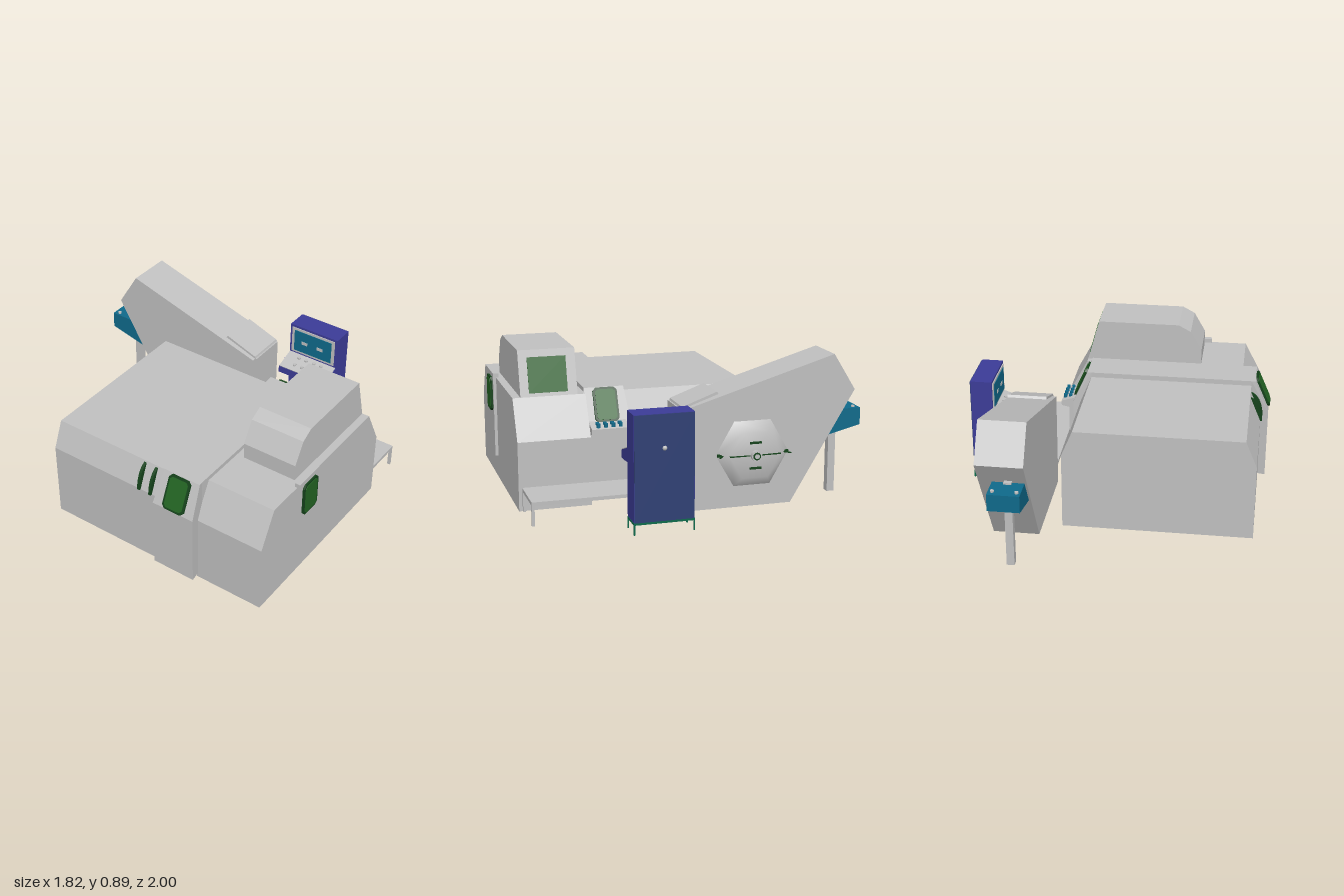
import * as THREE from 'three';

const mat = (name, color, side = THREE.FrontSide) => {
  const m = new THREE.MeshStandardMaterial({ color, side });
  m.name = name;
  return m;
};

export function createModel() {
  const root = new THREE.Group();
  root.name = 'industrialMachine';
  const grey = mat('light grey', 0xc0c0c0, THREE.DoubleSide);
  const green = mat('screen green', 0x226322);
  const darkGreen = mat('bezel green', 0x14421a);
  const blue = mat('cabinet blue', 0x3c3c98);
  const doorBlue = mat('door blue', 0x2f3f74);
  const teal = mat('teal', 0x0f6a8b);
  const frameGreen = mat('frame green', 0x0b6b4c);

  const add = (name, geo, material, parent = root) => {
    const m = new THREE.Mesh(geo, material);
    m.name = name;
    parent.add(m);
    return m;
  };
  // box given by its limits
  const box = (name, x0, x1, y0, y1, z0, z1, material) =>
    add(name, new THREE.BoxGeometry(x1 - x0, y1 - y0, z1 - z0)
      .translate((x0 + x1) / 2, (y0 + y1) / 2, (z0 + z1) / 2), material);
  const shapeOf = pts => new THREE.Shape(pts.map(p => new THREE.Vector2(p[0], p[1])));
  const extrude = (shape, depth) =>
    new THREE.ExtrudeGeometry(shape, { depth, bevelEnabled: false, curveSegments: 8 });
  // profile in (x, y) run along z, and profile in (z, y) run along x
  const alongZ = (pts, z0, z1) => extrude(shapeOf(pts), z1 - z0).translate(0, 0, z0);
  const alongX = (pts, x0, x1) =>
    extrude(shapeOf(pts.map(([z, y]) => [-z, y])), x1 - x0).rotateY(Math.PI / 2).translate(x0, 0, 0);
  // drops the floor faces so a body is an open shell
  const openBottom = (geo, y) => {
    const g = geo.index ? geo.toNonIndexed() : geo;
    const p = g.attributes.position.array, keep = [];
    for (let i = 0; i < p.length; i += 9) {
      if (Math.max(p[i + 1], p[i + 4], p[i + 7]) > y + 0.001) keep.push(...p.slice(i, i + 9));
    }
    const out = new THREE.BufferGeometry();
    out.setAttribute('position', new THREE.Float32BufferAttribute(keep, 3));
    out.computeVertexNormals();
    return out;
  };
  const cyl = (name, r, h, x, y, z, material, axis = 'y') => {
    const g = new THREE.CylinderGeometry(r, r, h, 16);
    if (axis === 'x') g.rotateZ(-Math.PI / 2);
    return add(name, g.translate(x, y, z), material);
  };
  // chamfered screen with bezel, placed by centre, normal and up slope
  const octagon = (w, h, c) => shapeOf([
    [-w + c, -h], [w - c, -h], [w, -h + c], [w, h - c], [w - c, h], [-w + c, h], [-w, h - c], [-w, -h + c]]);
  const screen = (name, w, h, centre, n, u) => {
    const g = new THREE.Group();
    g.name = name;
    add('bezel', extrude(octagon(w / 2, h / 2, 0.018), 0.012), darkGreen, g);
    add('glass', extrude(octagon(w / 2 - 0.012, h / 2 - 0.012, 0.014), 0.003).translate(0, 0, 0.012), green, g);
    const Z = new THREE.Vector3(...n).normalize(), Y = new THREE.Vector3(...u).normalize();
    g.applyMatrix4(new THREE.Matrix4().makeBasis(Y.clone().cross(Z), Y, Z).setPosition(...centre));
    root.add(g);
  };

  // main bodies
  add('frontBody', openBottom(alongZ([[-0.845, 0.015], [0.365, 0.015], [0.365, 0.41], [0.245, 0.635],
    [-0.735, 0.635], [-0.845, 0.43]], 0.55, 0.965), 0.015), grey);
  add('rearBody', openBottom(alongZ([[-0.86, 0.015], [0.25, 0.015], [0.25, 0.475], [0.185, 0.63],
    [-0.795, 0.63], [-0.86, 0.475]], -0.43, 0.325), 0.015), grey);
  add('middleBand', openBottom(alongZ([[-0.86, 0.04], [0.25, 0.04], [0.25, 0.47], [0.21, 0.66],
    [-0.82, 0.66], [-0.86, 0.47]], 0.325, 0.55), 0.04), grey);

  // flared band ends carrying a sloping screen on each side, mirrored about the band centre
  const cx = -0.305;
  for (const s of [-1, 1]) {
    const level = (y, xo, zo0, zo1) => [
      [cx + s * 0.49, y, 0.325], [cx + s * xo, y, zo0], [cx + s * xo, y, zo1], [cx + s * 0.49, y, 0.55]];
    const pos = [level(0.04, 0.6, 0.3, 0.565), level(0.47, 0.6, 0.3, 0.565), level(0.66, 0.515, 0.322, 0.553)].flat(2);
    const idx = [];
    for (let r = 0; r < 2; r++) for (let k = 0; k < 4; k++) {
      const a = r * 4 + k, b = r * 4 + (k + 1) % 4;
      idx.push(a, a + 4, b, b, a + 4, b + 4);
    }
    idx.push(8, 11, 10, 8, 10, 9);
    if (s < 0) idx.reverse();
    const g = new THREE.BufferGeometry();
    g.setAttribute('position', new THREE.Float32BufferAttribute(pos, 3));
    g.setIndex(idx);
    const flat = g.toNonIndexed();
    flat.computeVertexNormals();
    add('bandEnd', flat, grey);
    screen('bandScreen', 0.14, 0.2, [cx + s * 0.5575, 0.565, 0.435], [s * 0.19, 0.085, 0], [-s * 0.085, 0.19, 0]);
  }

  // hood with a window on its sloping end
  add('hood', alongZ([[-0.47, 0.63], [0.246, 0.63], [0.175, 0.89], [-0.325, 0.89], [-0.4, 0.85], [-0.47, 0.73]],
    0.595, 0.92), grey);
  const win = add('hoodWindow', new THREE.BoxGeometry(0.006, 0.202, 0.22), green);
  win.position.set(0.214, 0.7525, 0.76);
  win.rotation.z = Math.atan2(0.07, 0.255);

  // front panel with screen
  box('frontPanel', -0.515, -0.32, 0.155, 0.66, 0.95, 0.983, grey);
  screen('frontScreen', 0.14, 0.205, [-0.416, 0.53, 0.983], [0, 0, 1], [0, 1, 0]);

  // button console on the right end of the band
  add('console', alongZ([[0.28, 0.405], [0.375, 0.425], [0.375, 0.455], [0.28, 0.485]], 0.33, 0.545), grey);
  for (const x of [0.325, 0.357]) for (const z of [0.375, 0.418, 0.46, 0.503])
    cyl('consoleButton', 0.011, 0.024, x, 0.472, z, teal);

  // curved grab handles on the rear left slope
  for (const z of [0.175, 0.252]) {
    const s = new THREE.Shape();
    s.moveTo(-0.855, 0.475);
    s.lineTo(-0.79, 0.625);
    s.quadraticCurveTo(-0.862, 0.6, -0.872, 0.475);
    add('sideHandle', extrude(s, 0.016).translate(0, 0, z - 0.008), darkGreen).material.side = THREE.DoubleSide;
  }

  // inclined feeder with its bent front cover
  add('feeder', alongX([[0.095, 0.015], [0.095, 0.595], [-0.795, 0.86], [-0.925, 0.65], [-0.545, 0.015]],
    0.365, 0.633), grey);
  box('feederFrontCover', 0.385, 0.618, 0.25, 0.6, 0.095, 0.108, grey);
  add('feederLid', alongX([[0.1, 0.597], [0.095, 0.612], [-0.105, 0.685], [-0.115, 0.672]], 0.385, 0.618), grey);

  // hexagonal side dome with hub, seam and grips
  const dy = 0.325, dz = -0.31;
  const dome = new THREE.LatheGeometry([[0.215, 0], [0.15, 0.053], [0.03, 0.06], [0, 0.06]]
    .map(p => new THREE.Vector2(...p)), 6);
  add('sideDome', dome.rotateZ(-Math.PI / 2).translate(0.633, dy, dz), grey);
  cyl('hub', 0.03, 0.025, 0.703, dy, dz, grey, 'x');
  cyl('hubRing', 0.022, 0.004, 0.717, dy, dz, darkGreen, 'x');
  cyl('hubCap', 0.014, 0.006, 0.719, dy, dz, grey, 'x');
  for (const s of [-1, 1]) {
    box('domeGrip', 0.67, 0.697, dy + s * 0.073 - 0.006, dy + s * 0.073 + 0.006, dz - 0.034, dz + 0.034, darkGreen);
    const seam = add('domeSeam', new THREE.BoxGeometry(0.008, 0.006, 0.085), darkGreen);
    seam.position.set(0.661, dy, dz + s * 0.183);
    seam.rotation.y = s * 0.89;
    box('domeSeamInner', 0.684, 0.694, dy - 0.003, dy + 0.003, dz + s * 0.09 - 0.06, dz + s * 0.09 + 0.06, darkGreen);
    box('domeSeamClip', 0.64, 0.655, dy - 0.007, dy + 0.007, dz + s * 0.19 - 0.02, dz + s * 0.19 + 0.02, darkGreen);
  }

  // outfeed table
  box('tableTop', 0.365, 0.642, 0.13, 0.15, 0.09, 0.945, grey);
  for (const x of [0.365, 0.626]) box('tableLeg', x, x + 0.016, 0.015, 0.13, 0.929, 0.945, grey);

  // discharge chute and its post behind the feeder
  add('chute', alongX([[-0.855, 0.52], [-1, 0.52], [-1, 0.42], [-0.755, 0.36]], 0.375, 0.555), teal);
  box('chutePost', 0.443, 0.487, 0.01, 0.53, -0.88, -0.836, grey);
  for (const x of [0.397, 0.53]) cyl('chuteBolt', 0.011, 0.012, x, 0.524, -0.965, grey);

  // control cabinet on a leg frame
  box('cabinet', 0.765, 0.896, 0.065, 0.655, 0.11, 0.446, blue);
  box('cabinetDoor', 0.894, 0.9, 0.067, 0.653, 0.112, 0.444, doorBlue);
  const knob = add('doorKnob', new THREE.SphereGeometry(0.014, 12, 8), grey);
  knob.position.set(0.896, 0.468, 0.277);
  box('cabinetFrame', 0.763, 0.9, 0.055, 0.067, 0.108, 0.448, frameGreen);
  for (const x of [0.763, 0.892]) for (const z of [0.108, 0.44])
    box('frameLeg', x, x + 0.008, 0, 0.056, z, z + 0.008, frameGreen);

  // operator desk and display facing the machine
  add('desk', alongZ([[0.64, 0.362], [0.7, 0.362], [0.77, 0.37], [0.77, 0.45], [0.64, 0.405]], 0.11, 0.446), blue);
  const slope = Math.atan2(0.045, 0.13);
  const top = add('deskTop', new THREE.BoxGeometry(0.132, 0.006, 0.33), grey);
  top.position.set(0.703, 0.429, 0.278);
  top.rotation.z = slope;
  for (const x of [0.68, 0.735]) for (const z of [0.2, 0.252, 0.305, 0.357])
    cyl('deskButton', 0.011, 0.022, x, 0.43 + (x - 0.703) * 0.346, z, grey);
  box('displayFrame', 0.759, 0.766, 0.465, 0.64, 0.125, 0.43, grey);
  box('display', 0.755, 0.76, 0.48, 0.625, 0.145, 0.41, teal);
  for (const z of [0.22, 0.33]) box('displayMark', 0.752, 0.756, 0.54, 0.56, z - 0.02, z + 0.02, grey);
  return root;
}
